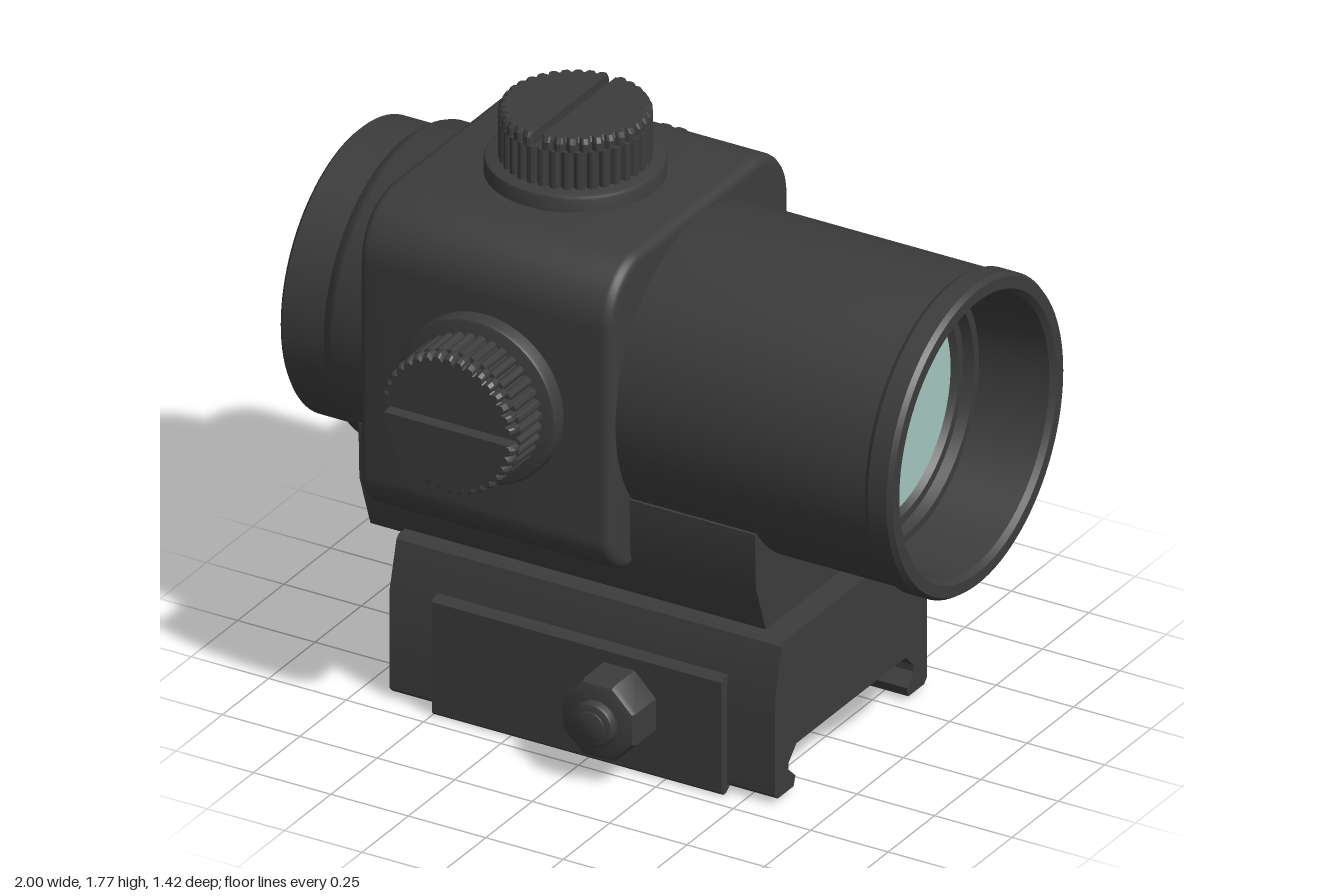
import * as THREE from 'three';
import { toCreasedNormals } from 'three/addons/utils/BufferGeometryUtils.js';

const AXIS_Y = 1.085, AXIS_Z = 0.015; // optical axis, running along x
const body = new THREE.MeshStandardMaterial({ color: 0x3c3c3c });
const glass = new THREE.MeshStandardMaterial({ color: 0xa4c6be });
const metal = new THREE.MeshStandardMaterial({ color: 0xa0a0a0 });

function add(parent, name, geometry, material = body) {
  const mesh = new THREE.Mesh(geometry, material);
  mesh.name = name;
  parent.add(mesh);
  return mesh;
}

const toShape = (pts) => new THREE.Shape(pts.map(([x, y]) => new THREE.Vector2(x, y)));

// Extrude a (-z, y) section along x, with optional rounded ends
function extrudeX(shape, x0, x1, bevel = 0) {
  const g = new THREE.ExtrudeGeometry(shape, {
    depth: x1 - x0 - 2 * bevel, bevelEnabled: bevel > 0, bevelThickness: bevel,
    bevelSize: bevel, bevelOffset: -bevel, bevelSegments: 4, curveSegments: 24,
  });
  g.translate(0, 0, x0 + bevel).rotateY(Math.PI / 2);
  return toCreasedNormals(g, 0.5);
}

// Turned part: profile of [radius, height], axis along +z
function turned(profile, segments = 64) {
  const g = new THREE.LatheGeometry(profile.map(([r, h]) => new THREE.Vector2(r, h)), segments);
  return toCreasedNormals(g.rotateX(Math.PI / 2), 0.5);
}

// Disc with a softened outer edge, from z0 to z1
const disc = (r, z0, z1, edge = 0.012, segments = 64) =>
  turned([[0, z0], [r, z0], [r, z1 - edge], [r - edge * 0.3, z1 - edge * 0.3], [r - edge, z1], [0, z1]], segments);

// Points of a knurled outline between two angles
function knurl(r, depth, teeth, a0 = 0, a1 = Math.PI * 2) {
  const pts = [], step = (Math.PI * 2) / teeth;
  const count = Math.round((a1 - a0) / step);
  for (let i = 0; i < count; i++) {
    for (const [f, d] of [[0, 1], [0.14, 0.3], [0.28, 0], [0.6, 0], [0.74, 0.3], [0.88, 1]]) {
      const a = a0 + ((i + f) * (a1 - a0)) / count;
      pts.push([Math.cos(a) * (r - depth * d), Math.sin(a) * (r - depth * d)]);
    }
  }
  return pts;
}

// Extruded knurled block whose last end is chamfered
function knurledBlock(pts, z0, z1, chamfer = 1) {
  const g = new THREE.ExtrudeGeometry(toShape(pts), { depth: z1 - z0, bevelEnabled: false, steps: 2 });
  const p = g.attributes.position;
  for (let i = 0; i < p.count; i++) {
    const z = p.getZ(i);
    if (z > z1 - z0 - 1e-5) p.setXY(i, p.getX(i) * chamfer, p.getY(i) * chamfer);
    else if (z > 1e-5 && chamfer < 1) p.setZ(i, z1 - z0 - 0.015);
  }
  g.translate(0, 0, z0);
  return toCreasedNormals(g, 0.4);
}

// Adjustment turret along +z: collar, knurled cap, slot along local x
function turret(name) {
  const t = new THREE.Group();
  t.name = name;
  add(t, 'turretCollar', disc(0.255, -0.03, 0.05));
  add(t, 'turretKnob', knurledBlock(knurl(0.215, 0.014, 36), 0.05, 0.165));
  const gap = 0.014, a = Math.asin(gap / 0.215);
  for (const turn of [0, Math.PI]) {
    const half = knurl(0.215, 0.014, 36, a, Math.PI - a);
    half.push([-0.205, gap], [0.205, gap]);
    add(t, 'turretKnobTop', knurledBlock(half, 0.165, 0.205, 0.96)).rotation.z = turn;
  }
  return t;
}

function createModel() {
  const root = new THREE.Group();
  root.name = 'reflexSight';

  // Hollow optical tube with a stepped bore
  const tube = add(root, 'opticTube', turned([
    [0.315, 0.72], [0.315, -0.87], [0.35, -0.87], [0.36, -0.89], [0.385, -0.89], [0.395, -0.985], [0.405, -1],
    [0.42, -1], [0.43, -0.99], [0.43, -0.855], [0.437, -0.845], [0.455, -0.825], [0.46, -0.81],
    [0.46, 0.91], [0.47, 0.925], [0.47, 0.985], [0.46, 1], [0.425, 1], [0.41, 0.985],
    [0.39, 0.77], [0.365, 0.77], [0.355, 0.74], [0.33, 0.74], [0.315, 0.72],
  ], 96));
  tube.rotation.y = Math.PI / 2;
  tube.position.set(0, AXIS_Y, AXIS_Z);

  // Lenses at both ends
  for (const [name, x, dir] of [['frontLens', 0.722, 1], ['rearLens', -0.872, -1]]) {
    const lens = add(root, name, new THREE.CircleGeometry(0.317, 64), glass);
    lens.rotation.y = (dir * Math.PI) / 2;
    lens.position.set(x, AXIS_Y, AXIS_Z);
  }

  // Rounded housing around the tube
  const h = new THREE.Shape();
  const L = -0.505, R = 0.47, B = 0.6, T = 1.57, rt = 0.18, rb = 0.13;
  h.moveTo(L + rb, B).lineTo(R - rb, B);
  h.absarc(R - rb, B + rb, rb, -Math.PI / 2, 0);
  h.absarc(R - rt, T - rt, rt, 0, Math.PI / 2);
  h.absarc(L + rt, T - rt, rt, Math.PI / 2, Math.PI);
  h.absarc(L + rb, B + rb, rb, Math.PI, Math.PI * 1.5);
  add(root, 'housing', extrudeX(h, -0.71, 0.105, 0.03));

  // Saddle cradling the tube
  const s = new THREE.Shape();
  const c = -AXIS_Z, arc = Math.atan2(0.265, 0.351);
  s.moveTo(c - 0.32, 0.48).lineTo(c + 0.32, 0.48).lineTo(c + 0.38, 0.65).lineTo(c + 0.385, 0.82);
  s.lineTo(c + 0.351, 0.82);
  s.absarc(c, AXIS_Y, 0.44, -arc, -Math.PI + arc, true);
  s.lineTo(c - 0.385, 0.82).lineTo(c - 0.38, 0.65);
  add(root, 'saddle', extrudeX(s, -0.77, 0.51));

  // Rail mount with two hooked jaws
  const jaw = [[0.36, 0.497], [0.372, 0.485], [0.41, 0.34], [0.41, 0.035], [0.395, 0.02], [0.31, 0.02],
    [0.3, 0.05], [0.338, 0.085], [0.338, 0.105], [0.295, 0.148]];
  const mount = [...jaw.map(([u, y]) => [c - u, y]), ...jaw.map(([u, y]) => [c + u, y]).reverse()];
  add(root, 'railMount', extrudeX(toShape(mount), -0.655, 0.59));
  add(root, 'recoilLug', new THREE.BoxGeometry(0.24, 0.1, 0.46)).position.set(-0.38, 0.115, 0.02);

  // Clamp plate, nut and stud
  const plate = [[-0.41, 0.02], [-0.43, 0.005], [-0.445, 0.005], [-0.455, 0.015], [-0.455, 0.36], [-0.445, 0.37], [-0.4, 0.37]];
  add(root, 'clampPlate', extrudeX(toShape(plate.reverse()), -0.5, 0.435));
  const clamp = new THREE.Group();
  clamp.name = 'clampNut';
  clamp.position.set(0.105, 0.205, 0);
  root.add(clamp);
  add(clamp, 'nut', disc(0.128, 0.45, 0.58, 0.022, 8)).rotation.z = Math.PI / 8;
  add(clamp, 'studCollar', disc(0.068, 0.57, 0.61, 0.012, 32));
  add(clamp, 'stud', disc(0.045, 0.6, 0.614, 0.004, 32));

  // Slotted cross screw on the back
  const screw = new THREE.Group();
  screw.name = 'crossScrew';
  screw.position.set(0.105, 0.205, 0);
  screw.rotation.y = Math.PI;
  root.add(screw);
  add(screw, 'screwHead', disc(0.125, 0.38, 0.43, 0.001));
  for (const turn of [0, Math.PI]) {
    const half = new THREE.Shape().absarc(0, 0, 0.125, -1.45, 1.45);
    const g = new THREE.ExtrudeGeometry(half, {
      depth: 0.013, bevelThickness: 0.012, bevelSize: 0.012, bevelOffset: -0.012, bevelSegments: 2, curveSegments: 32,
    });
    g.translate(0, 0, 0.43);
    add(screw, 'screwHeadHalf', toCreasedNormals(g, 0.5)).rotation.z = turn;
  }

  // Elevation and windage turrets
  const top = turret('topTurret');
  top.rotation.set(-Math.PI / 2, 0, Math.PI / 2);
  top.position.set(-0.3, 1.57, AXIS_Z);
  const side = turret('sideTurret');
  side.position.set(-0.3, AXIS_Y, 0.505);
  root.add(top, side);

  // Large rotary knob on the back, with raised pointer bar
  const dial = new THREE.Group();
  dial.name = 'rotaryKnob';
  dial.rotation.y = Math.PI;
  dial.position.set(-0.38, AXIS_Y, -0.47);
  root.add(dial);
  add(dial, 'knobCollar', disc(0.285, -0.03, 0.04));
  add(dial, 'knobGrip', knurledBlock(knurl(0.3, 0.016, 36), 0.03, 0.195, 0.97));
  const bar = new THREE.Shape();
  bar.absarc(0.145, 0, 0.027, -Math.PI / 2, Math.PI / 2);
  bar.absarc(-0.145, 0, 0.027, Math.PI / 2, Math.PI * 1.5);
  const barGeometry = new THREE.ExtrudeGeometry(bar, {
    depth: 0.035, bevelThickness: 0.008, bevelSize: 0.008, bevelOffset: -0.008, bevelSegments: 2,
  });
  add(dial, 'pointerBar', toCreasedNormals(barGeometry, 0.5)).position.set(0, 0, 0.197);
  add(dial, 'pointerMark', new THREE.BoxGeometry(0.045, 0.036, 0.01), metal).position.set(0.13, 0, 0.238);

  return root;
}

export { createModel };
